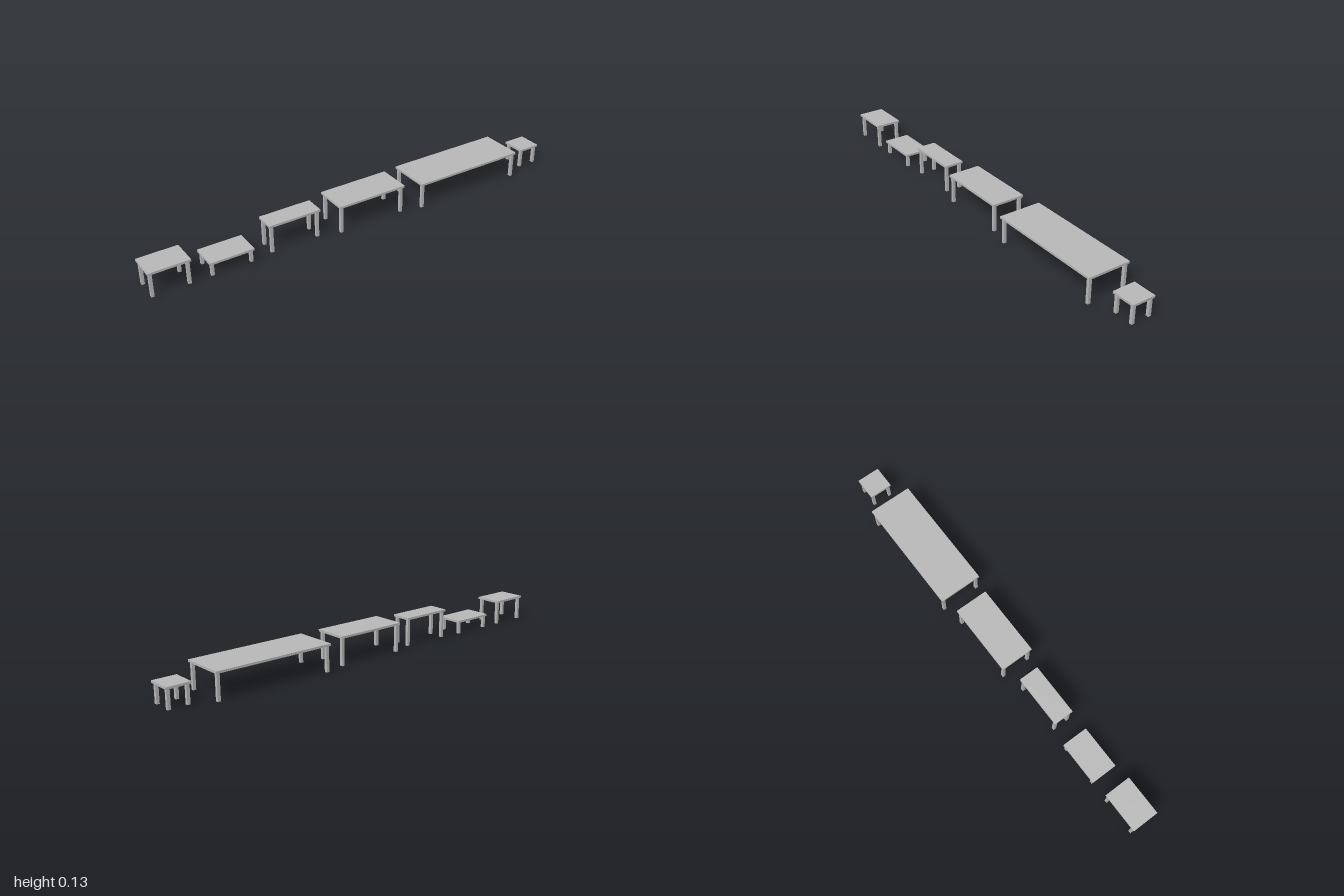
import * as THREE from 'three';

const TOP = 0.01;    // tabletop thickness
const LEG = 0.0135;  // square leg width
const INSET = 0.0055; // gap from tabletop edge to leg

const grey = new THREE.MeshStandardMaterial({ color: 0xb8b8b8 });
grey.name = 'plain grey';

// name, left x, right x, depth, height
const TABLES = [
  ['sideTable', -1.0, -0.82, 0.122, 0.115],
  ['coffeeTable', -0.745, -0.547, 0.12, 0.064],
  ['consoleTable', -0.467, -0.225, 0.092, 0.132],
  ['diningTable', -0.147, 0.187, 0.154, 0.132],
  ['longTable', 0.265, 0.815, 0.2, 0.123],
  ['stool', 0.893, 1.0, 0.107, 0.092],
];

function box(name, w, h, d, x, y, z) {
  const mesh = new THREE.Mesh(new THREE.BoxGeometry(w, h, d), grey);
  mesh.name = name;
  mesh.position.set(x, y, z);
  return mesh;
}

function createTable([name, x0, x1, depth, height]) {
  const table = new THREE.Group();
  table.name = name;
  table.position.x = (x0 + x1) / 2;
  const width = x1 - x0;
  const legHeight = height - TOP;

  // Flat top
  table.add(box('tabletop', width, TOP, depth, 0, height - TOP / 2, 0));

  // Four legs, mirrored to the corners
  const lx = width / 2 - INSET - LEG / 2;
  const lz = depth / 2 - INSET - LEG / 2;
  for (const sx of [-1, 1]) {
    for (const sz of [-1, 1]) {
      const legName = (sz > 0 ? 'front' : 'back') + (sx > 0 ? 'Left' : 'Right') + 'Leg';
      table.add(box(legName, LEG, legHeight, LEG, sx * lx, legHeight / 2, sz * lz));
    }
  }
  return table;
}

export function createModel() {
  const model = new THREE.Group();
  model.name = 'tableSet';
  for (const spec of TABLES) model.add(createTable(spec));
  return model;
}
